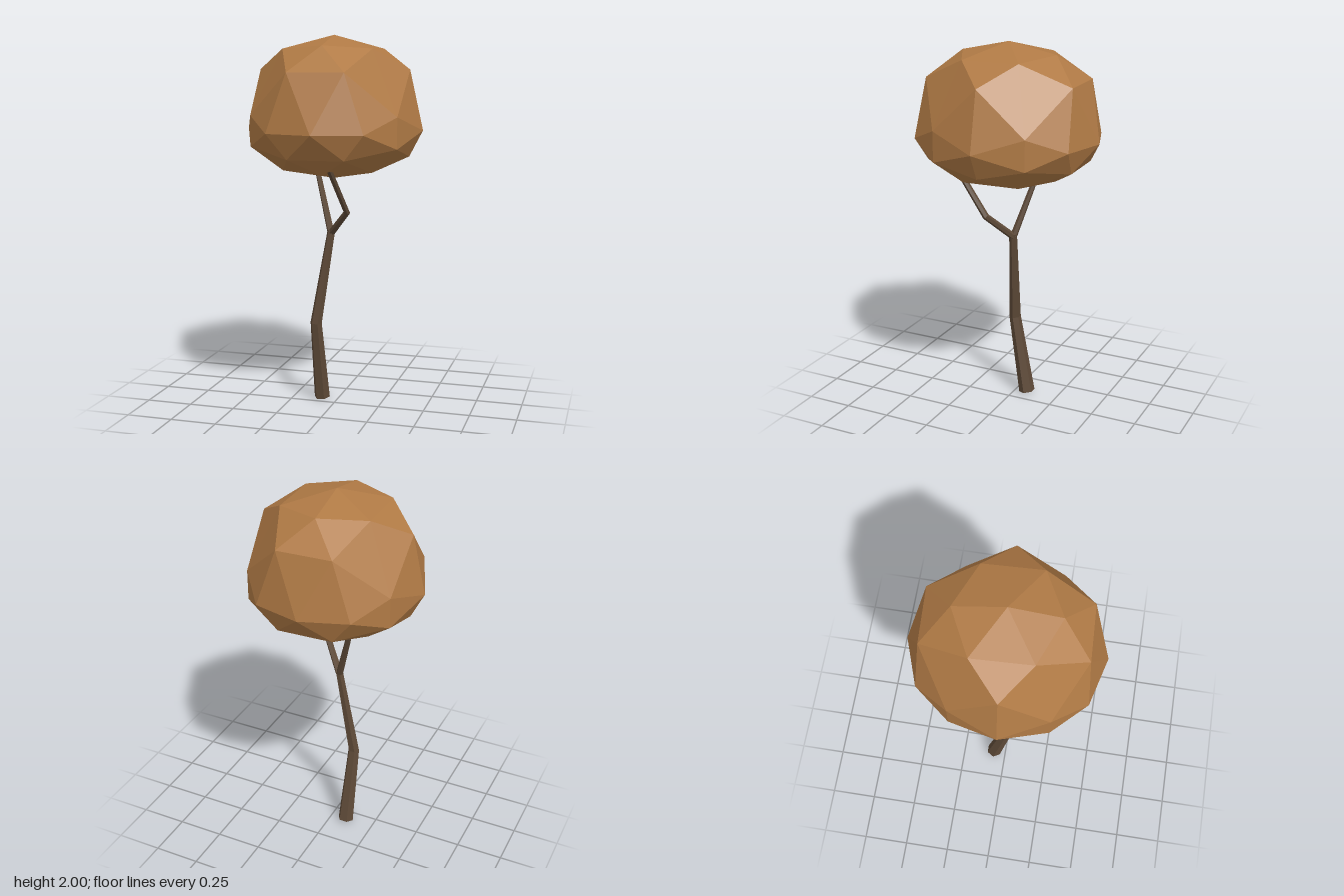
import * as THREE from 'three';

const barkMaterial = new THREE.MeshStandardMaterial({ color: 0x5e4a38, flatShading: true });
const leafMaterial = new THREE.MeshStandardMaterial({ color: 0xb07a45, flatShading: true });

// Tapered six-sided limb through points [x, y, z, radius], closed at both ends
function makeLimb(name, points, sides = 6) {
  const centres = points.map(([x, y, z]) => new THREE.Vector3(x, y, z));
  const last = points.length - 1;
  const positions = [];
  const index = [];

  centres.forEach((centre, i) => {
    const dir = new THREE.Vector3();
    if (i > 0) dir.add(centre.clone().sub(centres[i - 1]).normalize());
    if (i < last) dir.add(centres[i + 1].clone().sub(centre).normalize());
    dir.normalize();
    const u = new THREE.Vector3(1, 0, 0).addScaledVector(dir, -dir.x).normalize();
    const v = dir.clone().cross(u);
    for (let j = 0; j < sides; j++) {
      const angle = (j / sides) * Math.PI * 2;
      const p = centre.clone()
        .addScaledVector(u, Math.cos(angle) * points[i][3])
        .addScaledVector(v, Math.sin(angle) * points[i][3]);
      positions.push(p.x, p.y, p.z);
    }
  });

  for (let i = 0; i < last; i++) {
    for (let j = 0; j < sides; j++) {
      const k = (j + 1) % sides;
      const a = i * sides + j, b = i * sides + k;
      index.push(a, b, b + sides, a, b + sides, a + sides);
    }
  }
  // End caps
  const top = last * sides;
  for (let j = 1; j < sides - 1; j++) {
    index.push(0, j + 1, j, top, top + j, top + j + 1);
  }

  const geometry = new THREE.BufferGeometry();
  geometry.setAttribute('position', new THREE.Float32BufferAttribute(positions, 3));
  geometry.setIndex(index);
  geometry.computeVertexNormals();
  const mesh = new THREE.Mesh(geometry, barkMaterial);
  mesh.name = name;
  return mesh;
}

// Faceted ball, with the middle and underside pressed down towards the base
function makeCrown() {
  const geometry = new THREE.IcosahedronGeometry(1, 1);
  geometry.rotateY(Math.PI / 2);
  const pos = geometry.attributes.position;
  for (let i = 0; i < pos.count; i++) {
    const t = pos.getY(i);
    const y = t > 0.4 ? 1.625 + 0.375 * t : 1.25 + 0.26 * (1 + t);
    pos.setXYZ(i, pos.getX(i) * 0.474, y, pos.getZ(i) * 0.497);
  }
  geometry.rotateY(0.043);
  geometry.computeVertexNormals();
  const mesh = new THREE.Mesh(geometry, leafMaterial);
  mesh.name = 'crown';
  return mesh;
}

export function createModel() {
  const tree = new THREE.Group();
  tree.name = 'tree';
  tree.add(
    makeLimb('trunk', [
      [-0.09, 0.008, -0.07, 0.044],
      [-0.1, 0.45, 0.01, 0.032],
      [-0.02, 0.965, -0.015, 0.021],
    ]),
    // Straight branch leaning back
    makeLimb('backBranch', [
      [-0.022, 0.945, -0.015, 0.019],
      [-0.148, 1.35, -0.125, 0.013],
    ]),
    // Bent branch leaning forward
    makeLimb('frontBranch', [
      [-0.02, 0.95, -0.015, 0.019],
      [0.095, 1.08, 0.09, 0.018],
      [0.055, 1.335, 0.295, 0.016],
    ]),
    makeCrown(),
  );
  return tree;
}
